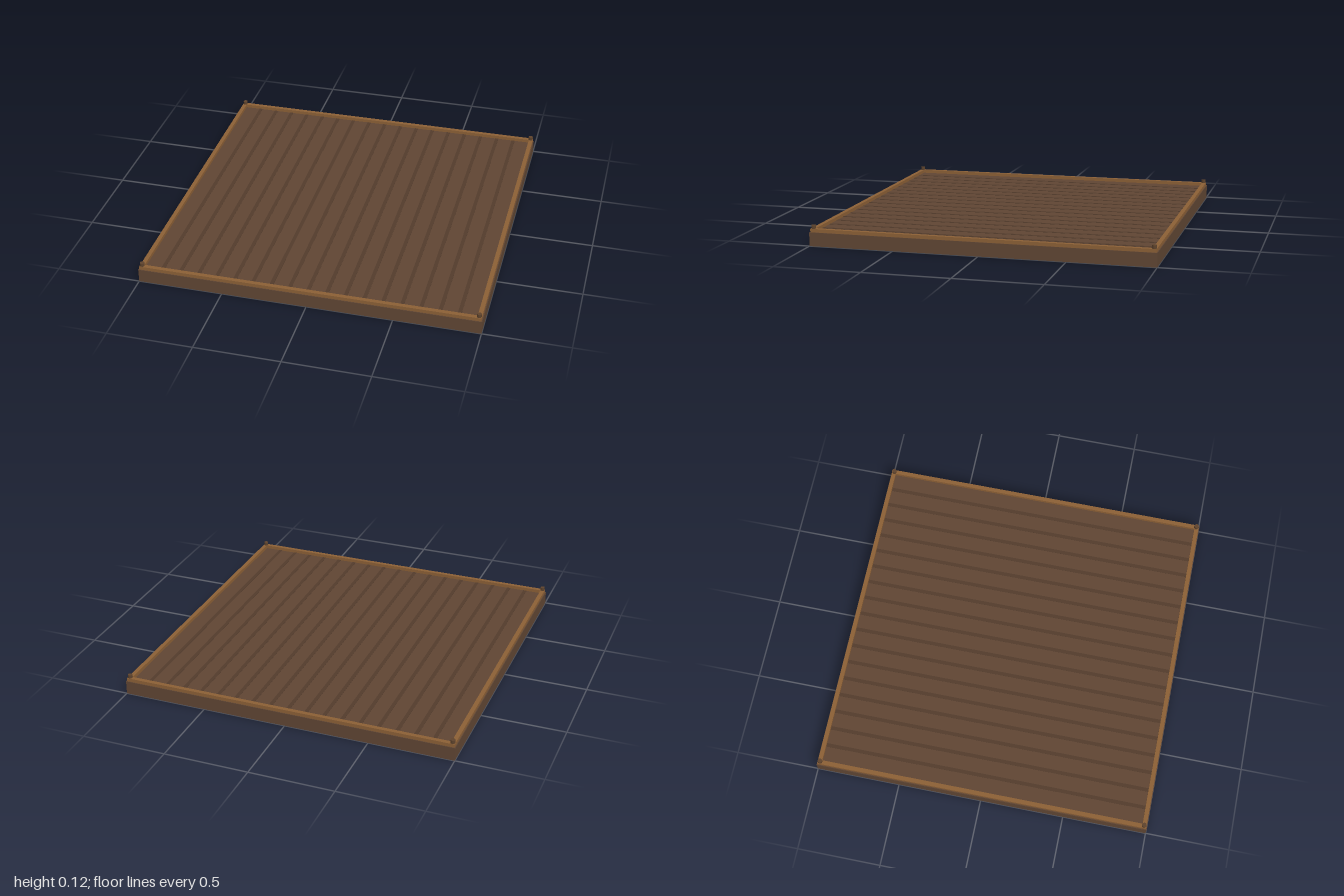
import * as THREE from 'three';

const mat = (name, color) => Object.assign(new THREE.MeshStandardMaterial({ color }), { name });

export function createModel() {
  const group = new THREE.Group();
  const plankWood = mat('plank brown', 0x5f4533);
  const seamWood = mat('seam brown', 0x523b2b);
  const trimWood = mat('trim brown', 0x8b5f35);
  const postWood = mat('post brown', 0x5e432c);

  const add = (name, geometry, material, x, y, z) => {
    const mesh = new THREE.Mesh(geometry, material);
    mesh.name = name;
    mesh.position.set(x, y, z);
    group.add(mesh);
    return mesh;
  };

  // Solid platform under the boards
  add('platformBase', new THREE.BoxGeometry(2, 0.08, 2), plankWood, 0, 0.04, 0);

  // Narrow dark seams between the boards, running front to back
  const boards = 18, pitch = 1.95 / boards;
  const seam = new THREE.BoxGeometry(0.022, 0.002, 1.95);
  for (let i = 1; i < boards; i++) {
    add('boardSeam', seam, seamWood, -0.975 + i * pitch, 0.0805, 0);
  }

  // Raised trim around the edge
  const longTrim = new THREE.BoxGeometry(1.99, 0.02, 0.025);
  const sideTrim = new THREE.BoxGeometry(0.025, 0.02, 1.94);
  for (const s of [-1, 1]) {
    add(s > 0 ? 'frontTrim' : 'backTrim', longTrim, trimWood, 0, 0.09, s * 0.9825);
    add(s > 0 ? 'leftTrim' : 'rightTrim', sideTrim, trimWood, s * 0.9825, 0.09, 0);
  }

  // Short round pegs at the corners
  const peg = new THREE.CylinderGeometry(0.014, 0.014, 0.04, 8);
  for (const x of [-1, 1]) {
    for (const z of [-1, 1]) add('cornerPeg', peg, postWood, x * 0.98, 0.1, z * 0.98);
  }
  return group;
}
